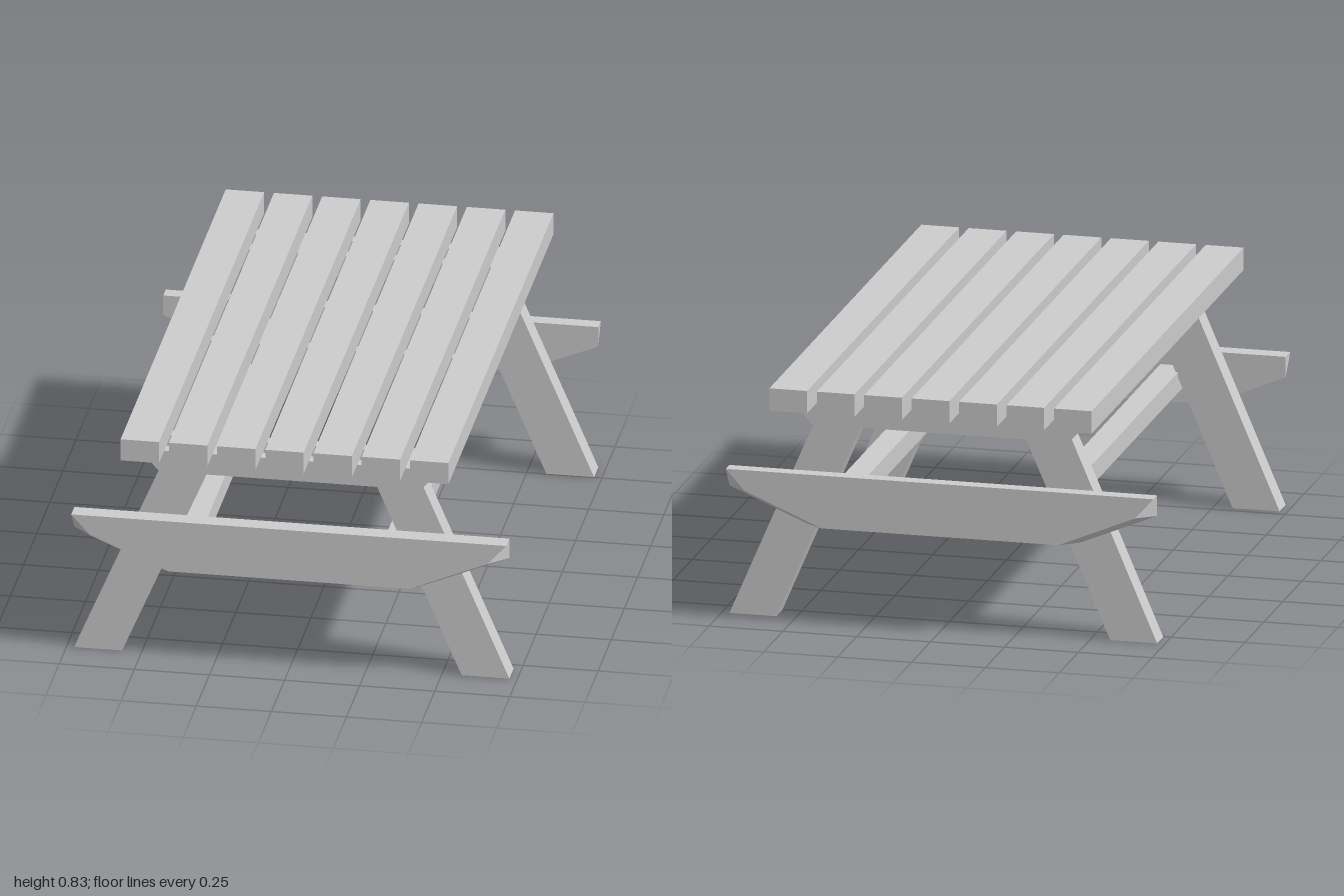
import * as THREE from 'three';

const material = new THREE.MeshStandardMaterial({ color: 0xcccccc, flatShading: true });

function addMesh(parent, name, geometry) {
  const mesh = new THREE.Mesh(geometry, material);
  mesh.name = name;
  parent.add(mesh);
  return mesh;
}

// Box given by its minimum and maximum corners
function addBox(parent, name, [x0, y0, z0], [x1, y1, z1]) {
  const mesh = addMesh(parent, name, new THREE.BoxGeometry(x1 - x0, y1 - y0, z1 - z0));
  mesh.position.set((x0 + x1) / 2, (y0 + y1) / 2, (z0 + z1) / 2);
}

// Flat outline in x and y, extruded from z0 to z1
function slab(points, z0, z1) {
  const shape = new THREE.Shape(points.map(([x, y]) => new THREE.Vector2(x, y)));
  const geometry = new THREE.ExtrudeGeometry(shape, { depth: z1 - z0, bevelEnabled: false });
  return geometry.translate(0, 0, z0);
}

// End beam whose lower corners are cut back towards the outer face
function endBeam(thickness) {
  const geometry = slab([
    [-0.464, 0.325], [0.464, 0.325], [0.724, 0.435],
    [0.724, 0.505], [-0.724, 0.505], [-0.724, 0.435],
  ], 0, thickness);
  const p = geometry.attributes.position;
  for (let i = 0; i < p.count; i++) {
    if (p.getZ(i) > thickness / 2 && p.getY(i) < 0.5) {
      p.setX(i, p.getX(i) - Math.sign(p.getX(i)) * 0.063);
    }
  }
  geometry.computeVertexNormals();
  return geometry;
}

export function createModel() {
  const model = new THREE.Group();
  model.name = 'picnicTable';

  // Table top planks
  for (let i = -3; i <= 3; i++) {
    const x = i * 0.1605;
    addBox(model, 'topPlank', [x - 0.064, 0.75, -1], [x + 0.064, 0.826, 1]);
  }

  // Cross bars under the top: a pair around each leg frame and one in the middle
  const barOutline = [[-0.435, 0.675], [0.435, 0.675], [0.503, 0.75], [-0.503, 0.75]];
  const barSpans = [[0.86, 0.9], [0.74, 0.78], [-0.02, 0.018], [-0.752, -0.712], [-0.87, -0.832]];
  for (const [z0, z1] of barSpans) addMesh(model, 'crossBar', slab(barOutline, z0, z1));

  // Splayed legs
  const legOutline = [[0.565, 0], [0.724, 0], [0.403, 0.75], [0.244, 0.75]];
  const mirrored = legOutline.map(([x, y]) => [-x, y]);
  for (const [end, z0, z1] of [['front', 0.78, 0.86], ['back', -0.832, -0.752]]) {
    addMesh(model, end + 'LeftLeg', slab(legOutline, z0, z1));
    addMesh(model, end + 'RightLeg', slab(mirrored, z0, z1));
  }

  // Long rails against the inner sides of the legs
  addBox(model, 'leftRail', [0.3, 0.38, -0.832], [0.38, 0.45, 0.86]);
  addBox(model, 'rightRail', [-0.38, 0.38, -0.832], [-0.3, 0.45, 0.86]);

  // Wide beams across the outside of the legs
  addMesh(model, 'frontBeam', endBeam(0.06)).position.z = 0.86;
  const backBeam = addMesh(model, 'backBeam', endBeam(0.048));
  backBeam.rotation.y = Math.PI;
  backBeam.position.z = -0.832;

  return model;
}
